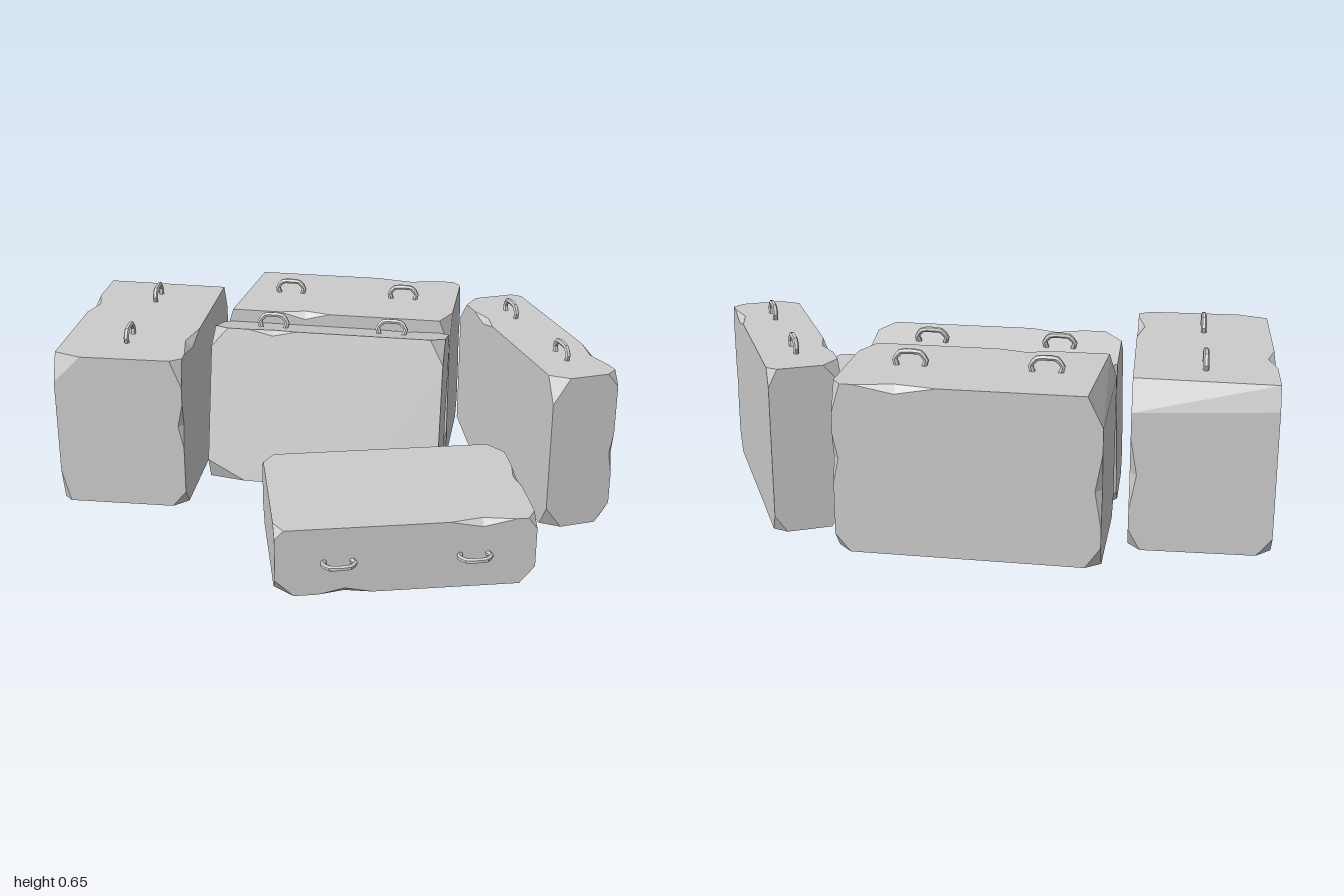
import * as THREE from 'three';

const stone = new THREE.MeshStandardMaterial({ color: 0xcccccc, flatShading: true });
const key = s => s.map(v => (v > 0 ? '+' : '-')).join('');

// Box with cut corners, chipped edges and chamfers.
// cuts: per corner, how far the cut runs along x, y, z (0 = that edge is chamfered whole).
// chips: [axis, sign, sign, from, to, depth], signs for the next two axes in cyclic order.
function chippedBlock(half, cuts, chips) {
  const pos = [];
  const a = new THREE.Vector3(), b = new THREE.Vector3();
  const tri = (p, q, r) => {
    const [P, Q, R] = [p, q, r].map(v => new THREE.Vector3(...v));
    const normal = a.subVectors(Q, P).cross(b.subVectors(R, P)).clone();
    const outward = normal.dot(P.clone().add(Q).add(R)) > 0;
    pos.push(...p, ...(outward ? q : r), ...(outward ? r : q));
  };
  const corner = s => s.map((v, i) => v * half[i]);
  const cutPoint = (s, axis) => {
    const p = corner(s);
    p[axis] -= s[axis] * cuts[key(s)][axis];
    return p;
  };
  // Chip vertex lying on the face normal to "face"
  const chipPoint = ([axis, su, sv, from, to, depth], face) => {
    const s = [0, 0, 0];
    s[(axis + 1) % 3] = su;
    s[(axis + 2) % 3] = sv;
    const p = corner(s), other = 3 - axis - face;
    p[axis] = (from + to) / 2;
    p[other] -= s[other] * depth;
    return p;
  };
  const chipEnd = (chip, t) => {
    const s = [0, 0, 0];
    s[(chip[0] + 1) % 3] = chip[1];
    s[(chip[0] + 2) % 3] = chip[2];
    const p = corner(s);
    p[chip[0]] = t;
    return p;
  };

  // Six main faces
  for (let n = 0; n < 3; n++) for (const side of [-1, 1]) {
    const u = (n + 1) % 3, v = (n + 2) % 3, outline = [];
    [[-1, -1], [1, -1], [1, 1], [-1, 1]].forEach(([cu, cv], i) => {
      const s = [0, 0, 0];
      s[n] = side; s[u] = cu; s[v] = cv;
      const leave = i % 2 ? v : u, arrive = i % 2 ? u : v;
      for (const axis of [arrive, leave]) if (cuts[key(s)][axis]) outline.push(cutPoint(s, axis));
      for (const c of chips) {
        if (c[0] !== leave || c[1] !== s[(leave + 1) % 3] || c[2] !== s[(leave + 2) % 3]) continue;
        const ends = [chipEnd(c, c[3]), chipEnd(c, c[4])];
        if (s[leave] > 0) ends.reverse();
        outline.push(ends[0], chipPoint(c, n), ends[1]);
      }
    });
    const flat = outline.map(p => new THREE.Vector2(p[u], p[v]));
    for (const f of THREE.ShapeUtils.triangulateShape(flat, [])) tri(...f.map(i => outline[i]));
  }
  // Corner cuts
  for (const x of [-1, 1]) for (const y of [-1, 1]) for (const z of [-1, 1]) {
    const s = [x, y, z];
    if (cuts[key(s)].every(d => d > 0)) tri(...[0, 1, 2].map(i => cutPoint(s, i)));
  }
  // Full-length chamfers
  for (let n = 0; n < 3; n++) for (const su of [-1, 1]) for (const sv of [-1, 1]) {
    const u = (n + 1) % 3, v = (n + 2) % 3, s = [0, 0, 0], e = [0, 0, 0];
    s[n] = -1; e[n] = 1; s[u] = e[u] = su; s[v] = e[v] = sv;
    if (cuts[key(s)][n] || cuts[key(e)][n]) continue;
    tri(cutPoint(s, u), cutPoint(s, v), cutPoint(e, u));
    tri(cutPoint(e, u), cutPoint(s, v), cutPoint(e, v));
  }
  // Edge chips
  for (const c of chips) {
    const m1 = chipPoint(c, (c[0] + 1) % 3), m2 = chipPoint(c, (c[0] + 2) % 3);
    tri(chipEnd(c, c[3]), m1, m2);
    tri(chipEnd(c, c[4]), m1, m2);
  }
  const geo = new THREE.BufferGeometry();
  geo.setAttribute('position', new THREE.Float32BufferAttribute(pos, 3));
  geo.computeVertexNormals();
  return geo;
}

export function createModel() {
  const model = new THREE.Group();
  model.name = 'stoneBlocks';

  const thin = { half: [0.4275, 0.2835, 0.12] };
  thin.geo = chippedBlock(thin.half, {
    '+++': [0.05, 0.09, 0.06], '+-+': [0.05, 0.08, 0.06],
    '-++': [0.06, 0.07, 0.06], '--+': [0.14, 0.07, 0.05],
    '++-': [0.03, 0.05, 0.04], '+--': [0.05, 0.07, 0.05],
    '-+-': [0.03, 0.06, 0.03], '---': [0.04, 0.06, 0.04],
  }, [
    [0, 1, 1, -0.29, -0.11, 0.02], [0, 1, -1, 0.14, 0.36, 0.022],
    [0, -1, 1, 0.05, 0.2, 0.012], [1, -1, 1, -0.1, 0.06, 0.014],
  ]);

  const thick = { half: [0.4275, 0.2835, 0.23] };
  thick.geo = chippedBlock(thick.half, {
    '+++': [0.04, 0.1, 0.1], '+-+': [0.03, 0.12, 0.03],
    '-++': [0.025, 0.08, 0], '--+': [0.05, 0.06, 0.05],
    '++-': [0.03, 0.1, 0.04], '+--': [0.05, 0.06, 0.05],
    '-+-': [0.05, 0.1, 0], '---': [0.05, 0.07, 0.04],
  }, [
    [0, 1, -1, 0.09, 0.36, 0.025], [0, 1, 1, -0.22, -0.03, 0.025],
    [1, -1, -1, -0.15, 0.1, 0.022], [1, -1, 1, -0.05, 0.12, 0.018],
  ]);

  // Bent wire lifting loop
  const loopPath = new THREE.CatmullRomCurve3(
    [[-0.042, -0.012], [-0.052, 0.02], [-0.03, 0.045], [0.03, 0.045], [0.052, 0.02], [0.042, -0.012]]
      .map(([x, y]) => new THREE.Vector3(x, y, 0)), false, 'catmullrom', 0.2);
  const loopGeo = new THREE.TubeGeometry(loopPath, 12, 0.0095, 6);

  function addBlock(name, type, position, rotation) {
    const block = new THREE.Group();
    block.name = name;
    const body = new THREE.Mesh(type.geo, stone);
    body.name = 'blockBody';
    block.add(body);
    for (const side of [-1, 1]) {
      const loop = new THREE.Mesh(loopGeo, stone);
      loop.name = 'liftingLoop';
      loop.position.set(side * 0.222, type.half[1], 0);
      block.add(loop);
    }
    block.position.set(...position);
    block.rotation.set(...rotation, 'YXZ');
    model.add(block);
  }

  addBlock('backBlock', thick, [-0.04, 0.318, -0.57], [0, 0, 0]);
  addBlock('rightBlock', thick, [-0.75, 0.318, -0.2], [0, -Math.PI / 2 + 0.045, 0]);
  addBlock('leaningSlab', thin, [-0.04, 0.308, -0.155], [-0.25, 0, 0]);
  addBlock('leftSlab', thin, [0.705, 0.318, -0.265], [0, -1.107, 0]);
  addBlock('lyingSlab', thin, [0.277, 0.155, 0.39], [Math.PI / 2, 0.279, 0]);

  return model;
}
